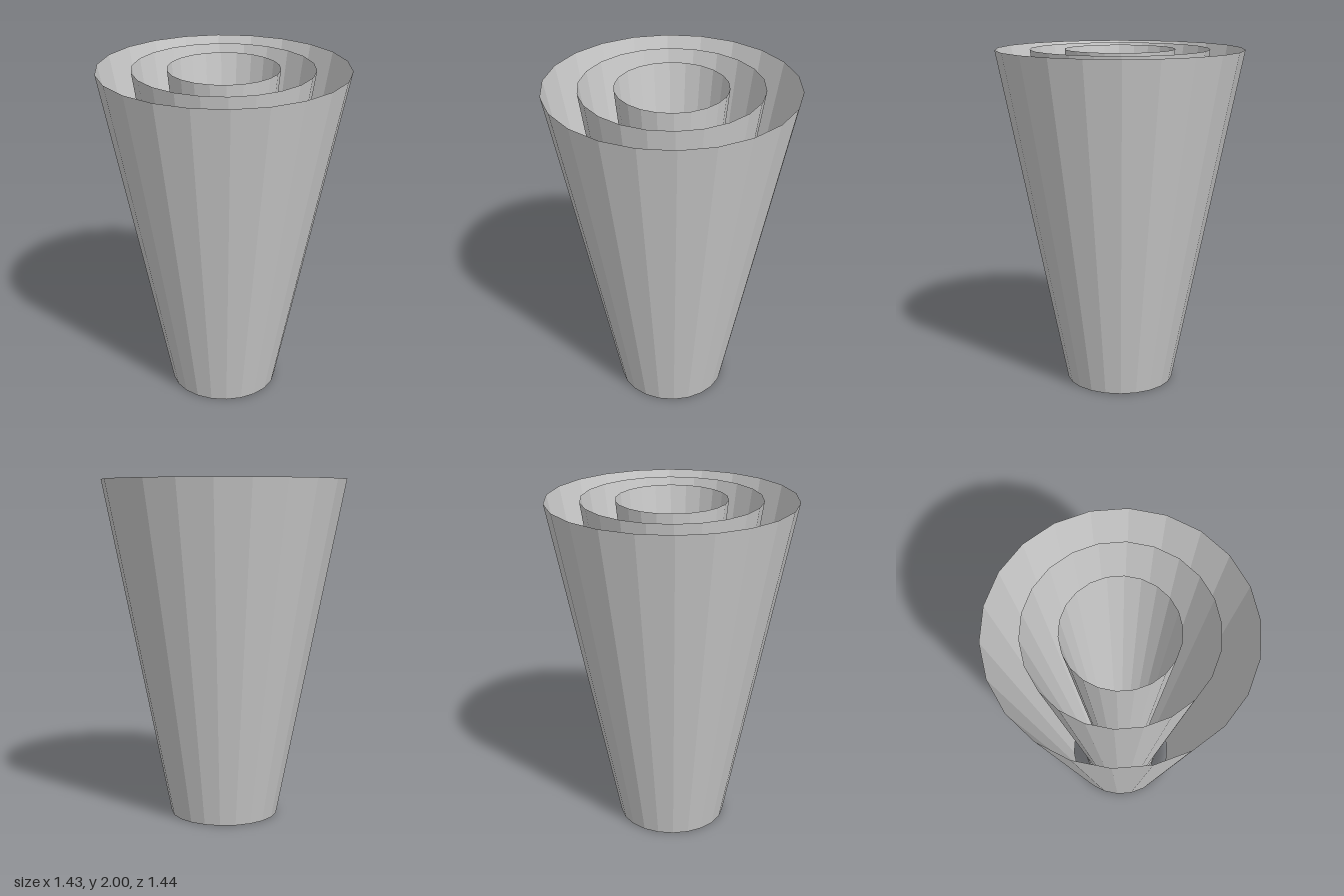
import * as THREE from 'three';

const SEGMENTS = 22;

export function createModel() {
  const group = new THREE.Group();
  group.name = 'nestedCones';

  const grey = new THREE.MeshStandardMaterial({ color: 0xcccccc, flatShading: true, side: THREE.DoubleSide });
  grey.name = 'light grey';

  // Three open tapering shells, one inside the other: [name, top radius, bottom radius]
  const shells = [
    ['outerShell', 0.72, 0.32],
    ['middleShell', 0.52, 0.22],
    ['innerShell', 0.32, 0.12],
  ];
  for (const [name, top, bottom] of shells) {
    const shell = new THREE.Mesh(new THREE.CylinderGeometry(top, bottom, 2, SEGMENTS, 1, true), grey);
    shell.name = name;
    shell.position.y = 1;
    group.add(shell);
  }

  // Flat disc closing the two inner shells at the bottom
  const base = new THREE.Mesh(new THREE.CylinderGeometry(0.24, 0.24, 0.08, SEGMENTS), grey);
  base.name = 'baseDisc';
  base.position.y = 0.04;
  group.add(base);

  return group;
}
